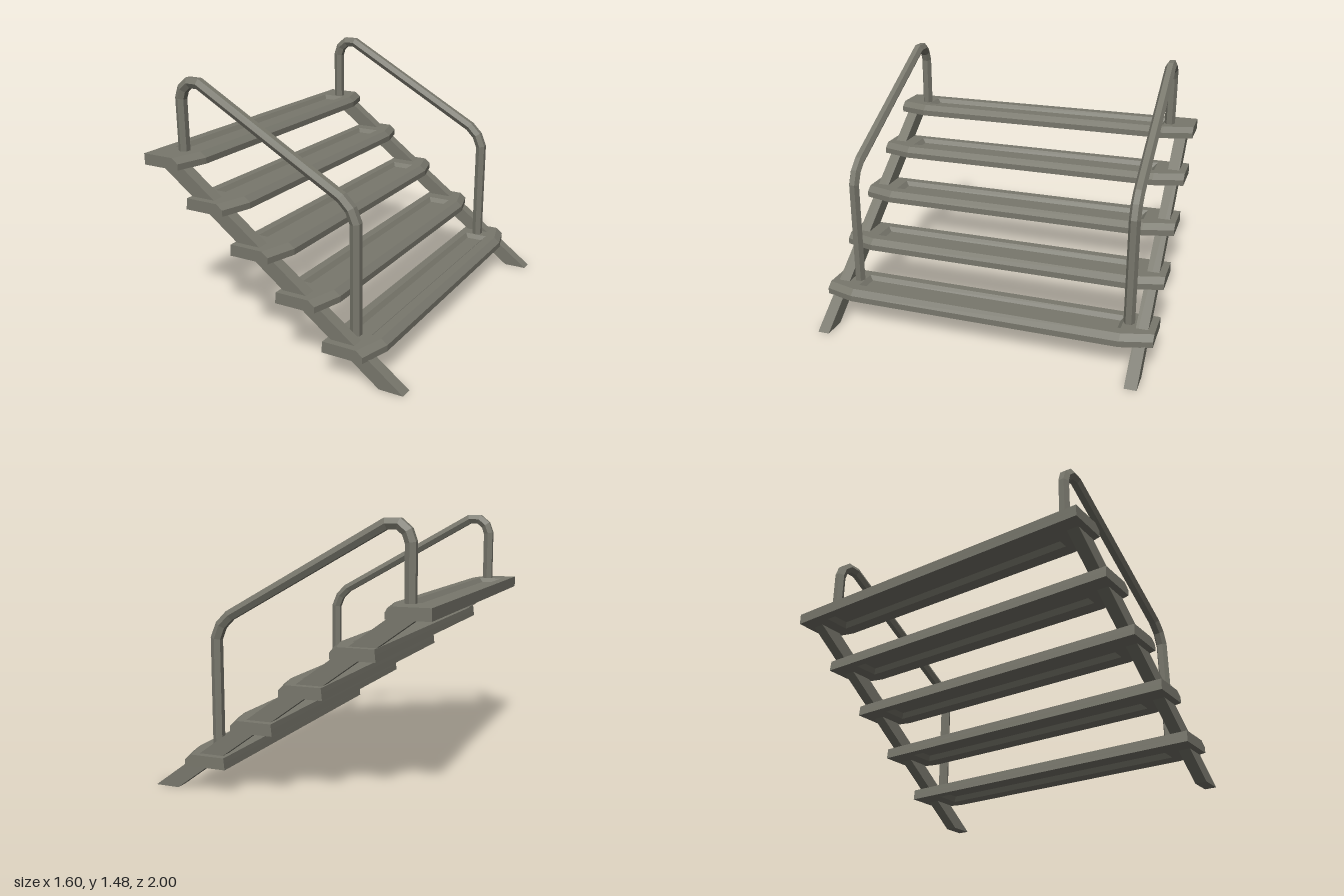
import * as THREE from 'three';

const metal = new THREE.MeshStandardMaterial({ color: 0x78776c });
metal.name = 'weathered metal';

// Closed faceted skin over rings of [x, y, z]; each ring runs counter-clockwise seen from the last ring
function loft(rings) {
  const pos = [];
  const tri = (a, b, c) => pos.push(...a, ...b, ...c);
  const n = rings[0].length;
  for (let r = 0; r < rings.length - 1; r++) {
    const a = rings[r], b = rings[r + 1];
    for (let i = 0; i < n; i++) {
      const j = (i + 1) % n;
      tri(a[i], a[j], b[j]);
      tri(a[i], b[j], b[i]);
    }
  }
  const first = rings[0], last = rings[rings.length - 1];
  for (let i = 1; i < n - 1; i++) {
    tri(first[0], first[i + 1], first[i]);
    tri(last[0], last[i], last[i + 1]);
  }
  const geo = new THREE.BufferGeometry();
  geo.setAttribute('position', new THREE.Float32BufferAttribute(pos, 3));
  geo.computeVertexNormals();
  return geo;
}

function addMesh(parent, name, geo) {
  const mesh = new THREE.Mesh(geo, metal);
  mesh.name = name;
  parent.add(mesh);
  return mesh;
}

// Tread: tapered ends, chamfered nose, shallow tray above and hollow below
function treadGeometry(width, slant) {
  const outline = (y, back, inset) => {
    const end = width - 0.05 - inset, nose = width - inset;
    return [[back, y, 1], [end, y, 1], [nose, y, 0.82], [nose, y, -0.82], [end, y, -1], [back, y, -1]];
  };
  const tray = (y, x0, x1, z) => {
    const mid = (x0 + x1) / 2;
    return [[x0, y, z], [mid, y, z], [x1, y, z], [x1, y, -z], [mid, y, -z], [x0, y, -z]];
  };
  return loft([
    tray(0.03, 0.07, 0.19, 0.79),
    tray(0, 0.055, 0.21, 0.81),
    outline(0, 0, 0),
    outline(0.035, slant / 2, 0),
    outline(0.065, slant, 0.038),
    tray(0.065, 0.055, 0.2, 0.81),
    tray(0.04, 0.075, 0.175, 0.785),
  ]);
}

// Hexagonal tube with mitred joints along a path in the xy plane
function railGeometry(path, radius) {
  const pts = path.map(([x, y]) => new THREE.Vector2(x, y));
  const normal = (a, b) => {
    const d = b.clone().sub(a).normalize();
    return new THREE.Vector2(-d.y, d.x);
  };
  const rings = pts.map((p, i) => {
    const n0 = normal(pts[Math.max(i - 1, 0)], pts[Math.max(i, 1)]);
    const n1 = i < pts.length - 1 ? normal(p, pts[i + 1]) : n0;
    const m = n0.clone().add(n1).normalize();
    m.divideScalar(m.dot(n0));
    return Array.from({ length: 6 }, (_, k) => {
      const a = (k * Math.PI) / 3 + Math.PI / 2;
      const u = Math.cos(a) * radius;
      return [p.x + m.x * u, p.y + m.y * u, Math.sin(a) * radius];
    });
  });
  return loft(rings);
}

export function createModel() {
  const group = new THREE.Group();
  group.name = 'staircase';

  // Five treads descending towards +x
  const treads = new THREE.Group();
  treads.name = 'treads';
  group.add(treads);
  const backs = [-0.8, -0.52, -0.235, 0.05, 0.335];
  backs.forEach((x, i) => {
    const geo = treadGeometry(i ? 0.295 : 0.285, i ? 0.007 : 0);
    addMesh(treads, 'tread' + (i + 1), geo).position.set(x, 1 - i * 0.2137, 0);
  });

  // Sloping stringers beneath the treads
  const side = new THREE.Shape([
    [0.655, 0], [0.795, 0], [-0.57, 1.005], [-0.72, 1.005],
  ].map(([x, y]) => new THREE.Vector2(x, y)));
  const stringerGeo = new THREE.ExtrudeGeometry(side, { depth: 0.07, bevelEnabled: false });
  stringerGeo.translate(0, 0, -0.035);

  // Bent handrails
  const railGeo = railGeometry([
    [-0.646, 1.03], [-0.646, 1.363], [-0.627, 1.417], [-0.582, 1.455], [-0.516, 1.455],
    [0.371, 0.959], [0.426, 0.904], [0.456, 0.831], [0.456, 0.17],
  ], 0.033);

  for (const [name, s] of [['left', -1], ['right', 1]]) {
    const label = name === 'left' ? 'back' : 'front';
    addMesh(group, label + 'Stringer', stringerGeo).position.z = s * 0.925;
    addMesh(group, label + 'Handrail', railGeo).position.z = s * 0.843;
  }
  return group;
}
